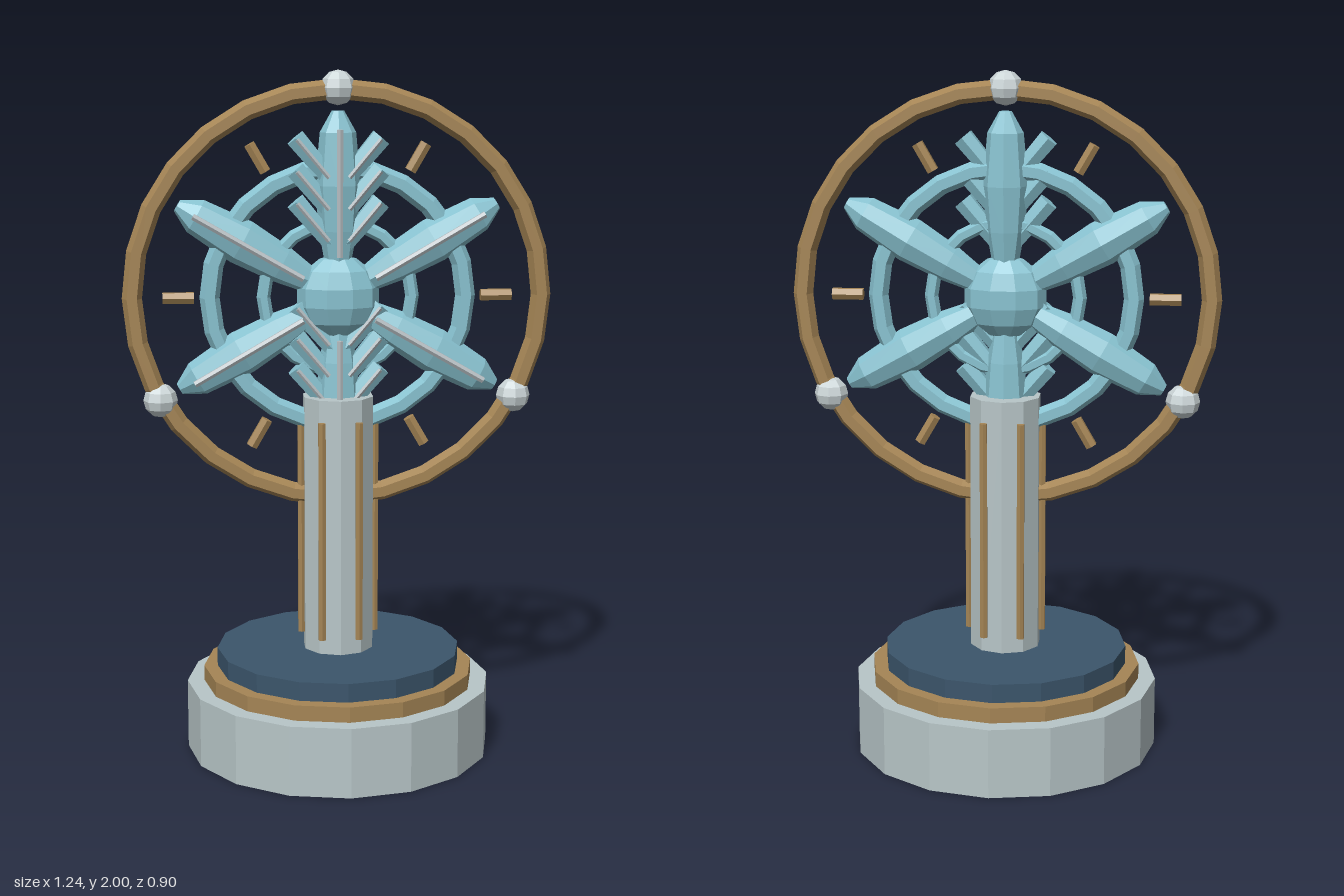
import * as THREE from 'three';

const mat = (name, color) => {
  const m = new THREE.MeshStandardMaterial({ color, flatShading: true });
  m.name = name;
  return m;
};

export function createModel() {
  const stone = mat('pale stone', 0xb8c6c8);
  const gold = mat('old gold', 0xa58555);
  const navy = mat('navy', 0x3b556b);
  const ice = mat('ice blue', 0x88c2d0);
  const silver = mat('silver', 0xb4bcc0);
  const pearl = mat('pearl', 0xcbd5d7);

  const model = new THREE.Group();
  model.name = 'snowflakeTrophy';
  const add = (parent, name, geometry, material, x = 0, y = 0, z = 0) => {
    const mesh = new THREE.Mesh(geometry, material);
    mesh.name = name;
    mesh.position.set(x, y, z);
    parent.add(mesh);
    return mesh;
  };
  // Cylinder standing between two heights
  const disc = (name, r, y0, y1, sides, material) =>
    add(model, name, new THREE.CylinderGeometry(r, r, y1 - y0, sides), material, 0, (y0 + y1) / 2);

  // Stepped base and column
  disc('base', 0.45, 0, 0.205, 16, stone);
  disc('baseTrim', 0.4, 0.205, 0.25, 16, gold);
  disc('baseTop', 0.36, 0.25, 0.305, 16, navy);
  disc('column', 0.105, 0.305, 1.065, 10, stone);
  for (let i = 0; i < 6; i++) {
    const a = (i * Math.PI) / 3;
    add(model, 'columnStrip', new THREE.CylinderGeometry(0.012, 0.012, 0.65, 6), gold,
      0.108 * Math.cos(a), 0.675, 0.108 * Math.sin(a));
  }

  // Everything in the wheel is placed around its centre
  const wheel = new THREE.Group();
  wheel.name = 'wheel';
  wheel.position.y = 1.355;
  model.add(wheel);

  add(wheel, 'outerRing', new THREE.TorusGeometry(0.592, 0.029, 6, 28), gold);
  add(wheel, 'middleRing', new THREE.TorusGeometry(0.37, 0.029, 6, 24), ice);
  add(wheel, 'innerRing', new THREE.TorusGeometry(0.215, 0.02, 6, 20), ice);
  add(wheel, 'hub', new THREE.SphereGeometry(0.122, 10, 7), ice).scale.z = 0.64;

  // Beads on the outer ring
  for (const deg of [90, 210, 330]) {
    const a = THREE.MathUtils.degToRad(deg);
    add(wheel, 'bead', new THREE.SphereGeometry(0.05, 8, 6), pearl,
      0.595 * Math.cos(a), 0.595 * Math.sin(a));
  }

  // Six spindle arms with a silver spine, and six gold pegs between them
  const armProfile = [[0, 0.05], [0.035, 0.08], [0.055, 0.19], [0.066, 0.32],
    [0.052, 0.47], [0.018, 0.53], [0, 0.53]].map(([r, y]) => new THREE.Vector2(r, y));
  const armGeometry = new THREE.LatheGeometry(armProfile, 8);
  for (let i = 0; i < 6; i++) {
    const spoke = new THREE.Group();
    spoke.name = 'spoke';
    spoke.rotation.z = (i * Math.PI) / 3;
    wheel.add(spoke);
    add(spoke, 'arm', armGeometry, ice).scale.z = 0.92;
    add(spoke, 'armSpine', new THREE.CylinderGeometry(0.01, 0.01, 0.36, 6), silver, 0, 0.3, 0.07);
    add(spoke, 'peg', new THREE.CylinderGeometry(0.018, 0.018, 0.09, 6), gold,
      0.46 * Math.cos(Math.PI / 3 * 1.5 - Math.PI / 6 - Math.PI / 3),
      0.46 * Math.sin(0)).rotation.z = Math.PI / 2;
  }

  // Paired side branches rising outward along the upright arms
  for (const start of [0.13, 0.22, 0.31, -0.17, -0.26, -0.35]) {
    for (const side of [-1, 1]) {
      const branch = new THREE.Group();
      branch.name = 'branch';
      branch.position.y = start;
      branch.rotation.z = -side * 0.7;
      wheel.add(branch);
      add(branch, 'branchBody', new THREE.CylinderGeometry(0.032, 0.026, 0.19, 6), ice, 0, 0.095, 0.01);
      add(branch, 'branchSpine', new THREE.CylinderGeometry(0.007, 0.007, 0.14, 5), silver, 0, 0.115, 0.046);
    }
  }
  return model;
}
